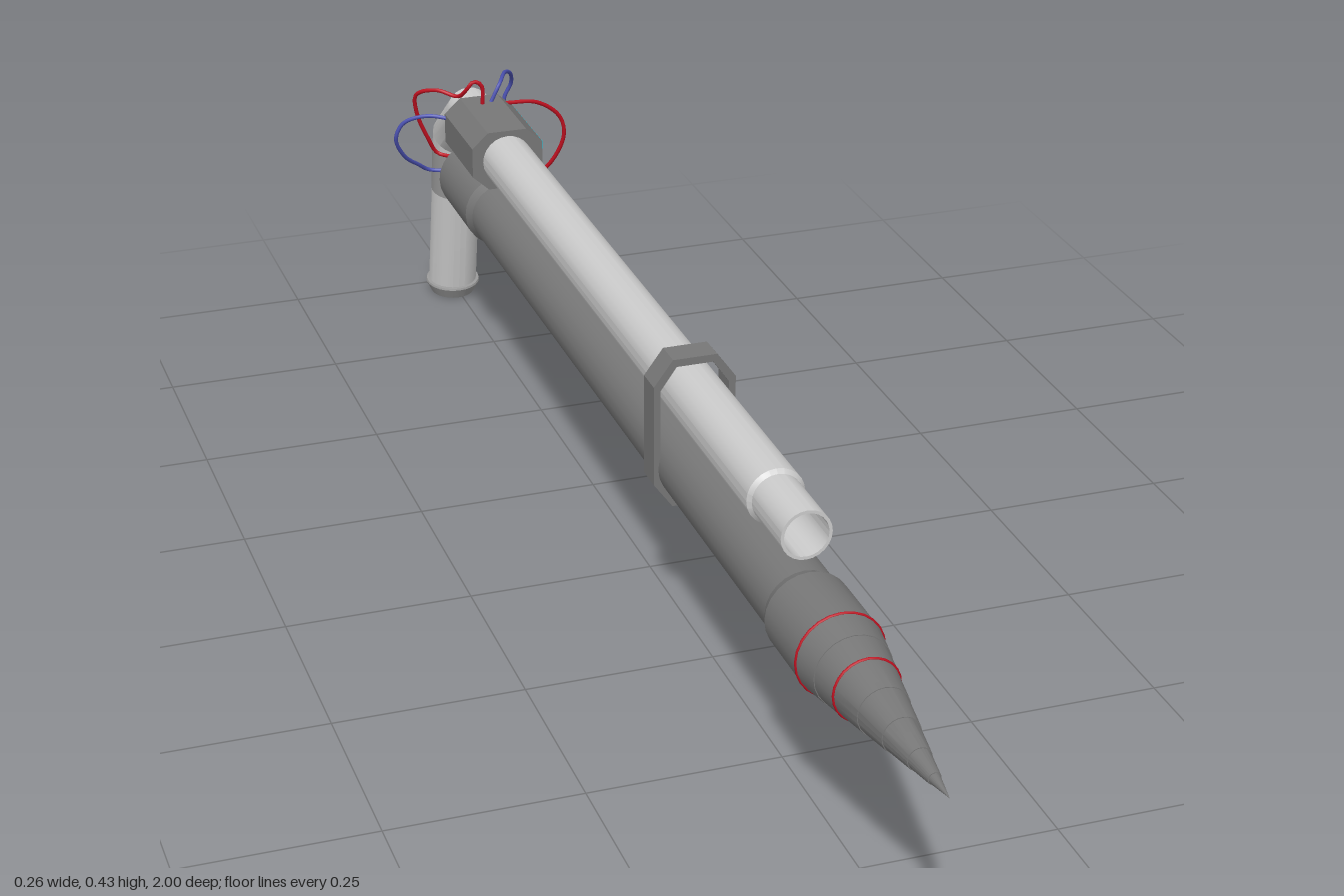
import * as THREE from 'three';
import { toCreasedNormals } from 'three/addons/utils/BufferGeometryUtils.js';

const CX = -0.007; // centre line of the body
const UP = 0.349, LOW = 0.252; // heights of the two tubes
const mat = (color) => new THREE.MeshStandardMaterial({ color });
const light = mat(0xcccccc), dark = mat(0x777777), mid = mat(0x999999);
const red = mat(0xc01020), blue = mat(0x4a50b0), cyan = mat(0x10c0d8);

const V2 = (p) => new THREE.Vector2(p[0], p[1]);
const V3 = (p) => new THREE.Vector3(p[0], p[1], p[2]);

function add(parent, name, geometry, material, x = 0, y = 0, z = 0) {
  const mesh = new THREE.Mesh(geometry, material);
  mesh.name = name;
  mesh.position.set(x, y, z);
  parent.add(mesh);
  return mesh;
}

// Turned part along z from [radius, z] pairs, listed back to front
function turned(points, sides = 24) {
  const g = new THREE.LatheGeometry(points.map(V2), sides).rotateX(Math.PI / 2);
  return toCreasedNormals(g, 0.3);
}

// Eight corners of a box outline with cut corners
function octagon(halfW, halfH, cutX, cutY) {
  const a = halfW - cutX, b = halfH - cutY;
  return [[a, halfH], [-a, halfH], [-halfW, b], [-halfW, -b],
    [-a, -halfH], [a, -halfH], [halfW, -b], [halfW, b]].map(V2);
}

// Mitred round pipe through [y, z] points in the middle plane
function bentPipe(path, r) {
  const pts = path.map(V2), n = pts.length - 1;
  const dirs = pts.slice(1).map((p, i) => p.clone().sub(pts[i]).normalize());
  const g = new THREE.CylinderGeometry(1, 1, 1, 24, n, true);
  const pos = g.attributes.position;
  for (let i = 0; i < pos.count; i++) {
    const k = Math.round((0.5 - pos.getY(i)) * n);
    const before = dirs[Math.max(k - 1, 0)], after = dirs[Math.min(k, n - 1)];
    const d = before.clone().add(after).normalize();
    const s = pos.getZ(i) * r / d.dot(before);
    pos.setXYZ(i, pos.getX(i) * r, pts[k].x + d.y * s, pts[k].y - d.x * s);
  }
  return toCreasedNormals(g, 0.3);
}

export function createModel() {
  const model = new THREE.Group();

  // Upper tube with a narrower, hollow front end
  add(model, 'upperTube', turned([
    [0, -0.78], [0.037, -0.78], [0.037, 0.48], [0.032, 0.485], [0.032, 0.58],
    [0.028, 0.58], [0.028, 0.5], [0, 0.5],
  ]), light, CX, UP);

  // Lower tube with rear and front collars
  add(model, 'lowerTube', turned([
    [0, -0.82], [0.05, -0.82], [0.054, -0.815], [0.054, -0.67], [0.048, -0.655],
    [0.048, 0.575], [0.054, 0.59], [0.054, 0.69], [0, 0.69],
  ]), dark, CX, LOW);

  // Spike in slightly stepped sections
  const spike = [[0, 0.685]];
  const stops = [0.69, 0.73, 0.77, 0.82, 0.87, 0.92, 0.96, 1];
  const radiusAt = (z) => 0.054 * (1 - z) / 0.31;
  for (let i = 0; i < stops.length - 1; i++) {
    spike.push([radiusAt(stops[i]), stops[i]]);
    spike.push([Math.max(radiusAt(stops[i + 1]) + (i < 6 ? 0.001 : 0), 0), stops[i + 1]]);
  }
  add(model, 'spike', turned(spike), dark, CX, LOW);
  for (const z of [0.69, 0.77]) {
    add(model, 'redStripe', new THREE.TorusGeometry(radiusAt(z), 0.002, 6, 24), red, CX, LOW, z);
  }

  // Band holding both tubes together
  const band = new THREE.Shape(octagon(0.054, 0.102, 0.025, 0.034));
  band.holes.push(new THREE.Path(octagon(0.045, 0.092, 0.021, 0.03).reverse()));
  add(model, 'band', new THREE.ExtrudeGeometry(band, { depth: 0.038, bevelEnabled: false }),
    dark, CX, 0.299, 0.157);

  // Eight-sided housing with a coloured panel on its left face
  const housing = new THREE.Shape(octagon(0.053, 0.044, 0.024, 0.022));
  add(model, 'housing', new THREE.ExtrudeGeometry(housing, { depth: 0.15, bevelEnabled: false }),
    dark, CX, 0.35, -0.777);
  add(model, 'sidePanel', new THREE.BoxGeometry(0.002, 0.042, 0.146), cyan, CX + 0.053, 0.35, -0.702);

  // Bent handle, its sleeve and flared end cap
  const handle = new THREE.Group();
  handle.name = 'handle';
  handle.position.x = CX;
  model.add(handle);
  const upperBend = [0.286, -0.907], lowerBend = [0.195, -0.924], end = [0.02, -0.959];
  add(handle, 'grip', bentPipe([[UP, -0.77], [UP, -0.825], upperBend, lowerBend, end], 0.037), light);
  add(handle, 'sleeve', bentPipe([[0.267, -0.911], lowerBend, [0.19, -0.925]], 0.0375), mid);
  const cap = new THREE.LatheGeometry(
    [[0, -0.01], [0.034, -0.01], [0.042, 0.007], [0.041, 0.01], [0.036, 0.011], [0, 0.011]].map(V2), 24);
  add(handle, 'endCap', toCreasedNormals(cap, 0.3), mid, 0, 0.0135, -0.959).rotation.x = 0.1;

  // Loose wires around the rear end
  const wires = [
    ['redWireLeft', red, [[0.03, 0.383, -0.765], [0.083, 0.374, -0.775], [0.12, 0.345, -0.782],
      [0.128, 0.313, -0.785], [0.11, 0.263, -0.8], [0.074, 0.226, -0.825], [0.035, 0.221, -0.835],
      [0.01, 0.235, -0.815]]],
    ['blueWireLeft', blue, [[0.003, 0.39, -0.75], [0.02, 0.419, -0.755], [0.038, 0.422, -0.79],
      [0.056, 0.406, -0.82], [0.06, 0.385, -0.835], [0.05, 0.362, -0.838], [0.05, 0.322, -0.835],
      [0.056, 0.295, -0.83], [0.048, 0.274, -0.83], [0.025, 0.262, -0.815]]],
    ['blueWireRight', blue, [[-0.05, 0.365, -0.77], [-0.086, 0.369, -0.785], [-0.118, 0.356, -0.8],
      [-0.129, 0.331, -0.805], [-0.113, 0.295, -0.82], [-0.086, 0.27, -0.84], [-0.068, 0.256, -0.85],
      [-0.04, 0.253, -0.84], [-0.02, 0.25, -0.815]]],
    ['redWireRight', red, [[-0.01, 0.39, -0.745], [-0.012, 0.424, -0.742], [-0.024, 0.431, -0.742],
      [-0.033, 0.42, -0.745], [-0.042, 0.402, -0.765], [-0.068, 0.406, -0.79], [-0.093, 0.393, -0.815],
      [-0.09, 0.358, -0.825], [-0.072, 0.313, -0.83], [-0.058, 0.288, -0.835], [-0.035, 0.285, -0.815]]],
  ];
  for (const [name, material, points] of wires) {
    const curve = new THREE.CatmullRomCurve3(points.map(V3));
    add(model, name, new THREE.TubeGeometry(curve, 48, 0.003, 8), material);
  }

  return model;
}
